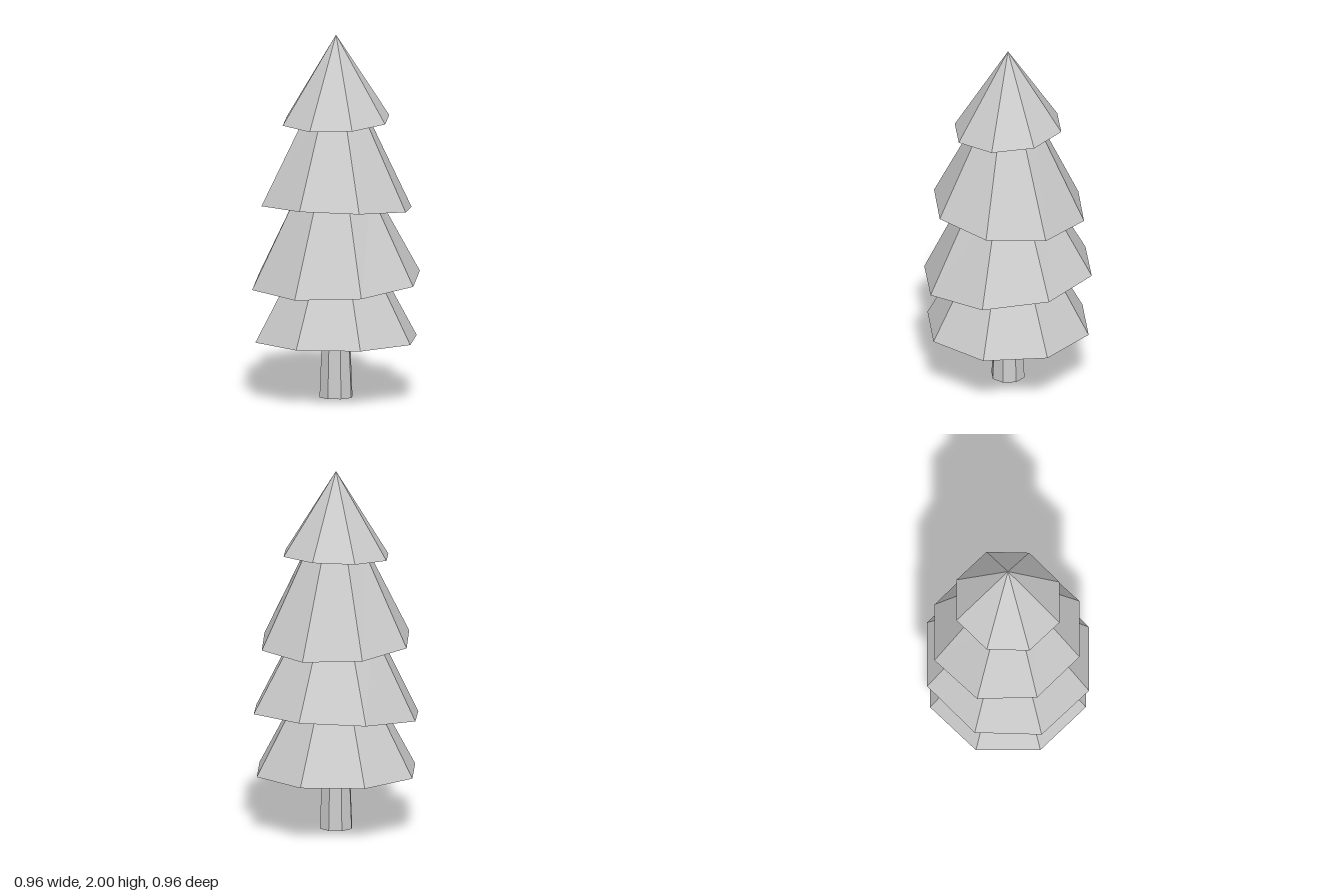
import * as THREE from 'three';

const SIDES = 8;
const material = new THREE.MeshStandardMaterial({ color: 0xcccccc, flatShading: true });

// Octagonal tapered solid between two heights; its base slopes along z by `tilt`.
function taper(name, { base, top, rBase, rTop, tilt = 0, shift = 0 }) {
  const height = top - base;
  const geometry = new THREE.CylinderGeometry(rTop, rBase, height, SIDES);
  geometry.translate(0, base + height / 2, 0);
  const p = geometry.attributes.position;
  for (let i = 0; i < p.count; i++) {
    if (p.getY(i) < base + height / 2) {
      p.setY(i, base + tilt * p.getZ(i));
      p.setZ(i, p.getZ(i) + shift);
    }
  }
  geometry.computeVertexNormals();
  const mesh = new THREE.Mesh(geometry, material);
  mesh.name = name;
  return mesh;
}

export function createModel() {
  const tree = new THREE.Group();
  tree.name = 'pineTree';

  // Trunk, running a little way into the foliage
  tree.add(taper('trunk', { base: 0, top: 0.34, rBase: 0.094, rTop: 0.08 }));

  // Foliage tiers: each follows a cone towards `apex`, cut off inside the next tier
  const tiers = [
    { base: 0.32, radius: 0.46, apex: 1.16, top: 0.74 },
    { base: 0.643, radius: 0.478, apex: 1.55, top: 1.14, tilt: -0.093 },
    { base: 1.05, radius: 0.428, apex: 1.91, top: 1.6, tilt: 0.07, shift: -0.006 },
    { base: 1.527, radius: 0.304, apex: 2, top: 2, tilt: -0.074 },
  ];
  tiers.forEach(({ base, radius, apex, top, tilt, shift }, i) => {
    const rTop = radius * (apex - top) / (apex - base);
    tree.add(taper(`foliageTier${i + 1}`, { base, top, rBase: radius, rTop, tilt, shift }));
  });
  return tree;
}
